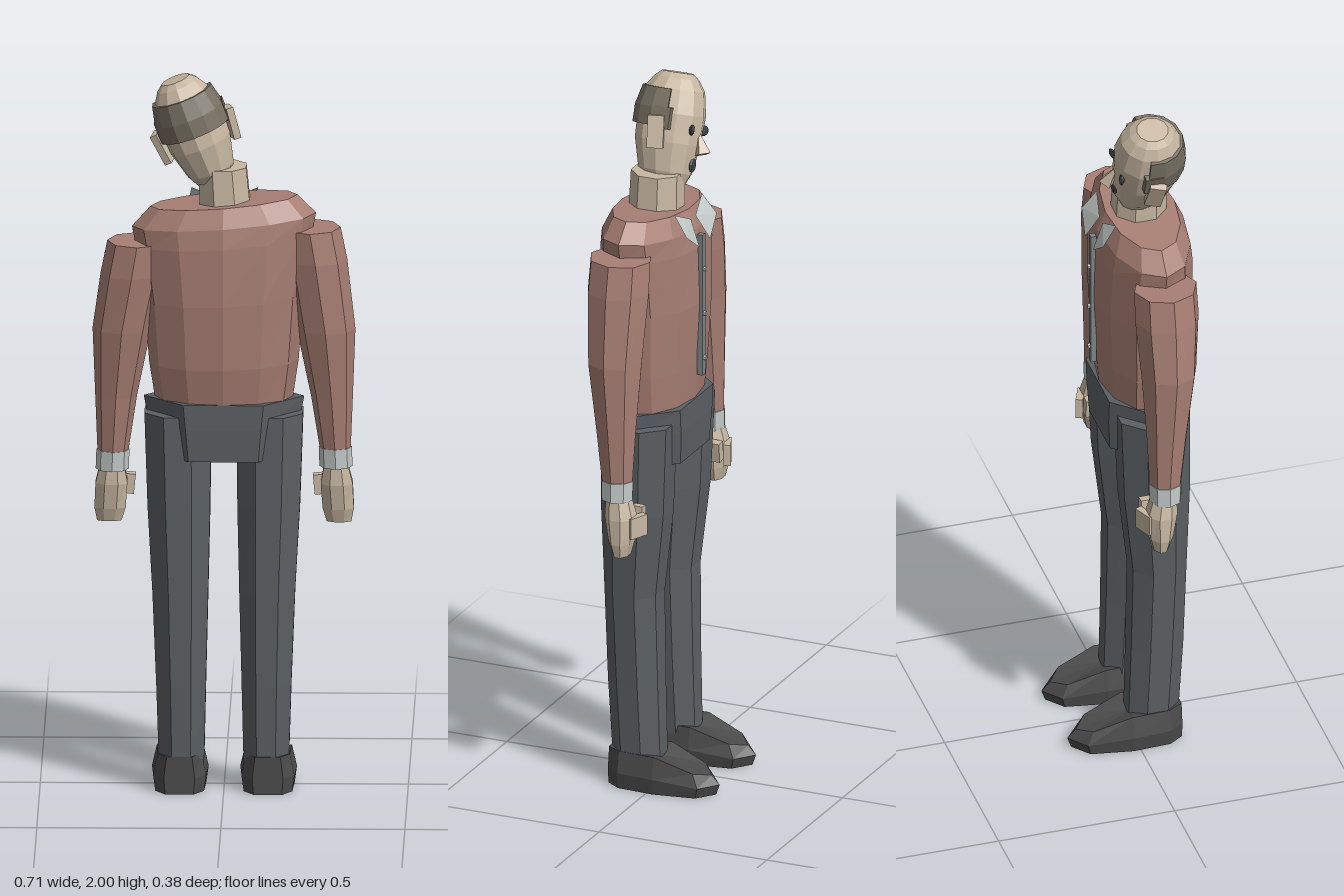
import * as THREE from 'three';

const mat = (color) => new THREE.MeshStandardMaterial({ color, flatShading: true, side: THREE.DoubleSide });
const SKIN = mat(0xc8b8a2), HAIR = mat(0x777063), SHIRT = mat(0xa87f74), TROUSER = mat(0x5b6064);
const SHOE = mat(0x4a4a4a), CLOTH = mat(0xc2cac8), DARK = mat(0x3f4344), PLACKET = mat(0x7c8486);

// Closed skin over rings of points; every ring is an array of [x, y, z] running from +x to +z
function skin(rings) {
  const n = rings[0].length, pos = rings.flat(2), idx = [];
  const mid = (r) => r.reduce((s, p) => s.map((v, i) => v + p[i] / n), [0, 0, 0]);
  const last = rings.length - 1, c0 = rings.length * n;
  pos.push(...mid(rings[0]), ...mid(rings[last]));
  for (let i = 0; i < n; i++) {
    const j = (i + 1) % n;
    for (let r = 0; r < last; r++) {
      const a = r * n + i, b = a + n, c = r * n + j, d = c + n;
      idx.push(a, b, c, c, b, d);
    }
    idx.push(c0, i, j, c0 + 1, last * n + j, last * n + i);
  }
  const g = new THREE.BufferGeometry();
  g.setAttribute('position', new THREE.Float32BufferAttribute(pos, 3));
  g.setIndex(idx);
  const flat = g.toNonIndexed();
  flat.computeVertexNormals();
  return flat;
}

// Elliptic rings given as [y, centreX, centreZ, radiusX, radiusZ]
const loft = (n, rows, turn = 0) => skin(rows.map(([y, cx, cz, rx, rz]) =>
  Array.from({ length: n }, (_, i) => {
    const a = ((i + turn) / n) * Math.PI * 2;
    return [cx + rx * Math.cos(a), y, cz + rz * Math.sin(a)];
  })));

function add(parent, name, geometry, material, x = 0, y = 0, z = 0) {
  const m = new THREE.Mesh(geometry, material);
  m.name = name;
  m.position.set(x, y, z);
  parent.add(m);
  return m;
}

function buildHead() {
  const head = new THREE.Group();
  head.name = 'head';
  add(head, 'skull', loft(12, [
    [-0.155, 0, -0.01, 0.042, 0.05], [-0.11, 0, -0.005, 0.066, 0.076], [-0.03, 0, 0, 0.086, 0.092],
    [0.05, 0, 0, 0.09, 0.095], [0.115, 0, 0, 0.077, 0.083], [0.145, 0, 0, 0.058, 0.062], [0.16, 0, 0, 0.04, 0.044],
  ]), SKIN);

  // Hair band wrapping the back of the head from ear to ear
  const slices = [];
  for (let i = 0; i <= 8; i++) {
    const a = -0.25 + (i / 8) * (Math.PI + 0.5);
    const at = (r, y) => [r * Math.cos(a), y, r * 1.05 * Math.sin(a)];
    slices.push([at(0.075, 0.01), at(0.099, 0.01), at(0.099, 0.06), at(0.086, 0.115), at(0.065, 0.115)]);
  }
  add(head, 'hairBand', skin(slices), HAIR);

  for (const s of [1, -1]) {
    const ear = add(head, 'ear', new THREE.BoxGeometry(0.02, 0.09, 0.045), SKIN, s * 0.1, -0.005, -0.002);
    ear.rotation.set(0.1, s * 0.3, -s * 0.12);
    add(head, 'sideburn', new THREE.BoxGeometry(0.02, 0.06, 0.05), HAIR, s * 0.088, 0.035, -0.01);
    const eye = add(head, 'eye', new THREE.SphereGeometry(1, 8, 6), DARK, s * 0.041, 0.012, -0.082);
    eye.scale.set(0.021, 0.015, 0.008);
    eye.rotation.y = s * 0.35;
  }
  const mouth = add(head, 'mouth', new THREE.SphereGeometry(1, 8, 6), DARK, 0, -0.083, -0.082);
  mouth.scale.set(0.019, 0.021, 0.008);
  const nose = add(head, 'nose', new THREE.ConeGeometry(0.024, 0.07, 4), SKIN, 0, -0.018, -0.095);
  nose.rotation.x = 0.35;
  head.position.set(-0.075, 1.835, 0.05);
  head.rotation.z = 0.367;
  return head;
}

function buildArm(s) {
  const arm = new THREE.Group();
  arm.name = s > 0 ? 'leftArm' : 'rightArm';
  const top = s > 0 ? 1.575 : 1.535, wrist = s > 0 ? 0.95 : 0.94;
  add(arm, 'sleeve', loft(8, [
    [wrist, s * 0.302, 0.035, 0.042, 0.045], [1.1, s * 0.293, 0.042, 0.057, 0.058],
    [1.29, s * 0.277, 0.052, 0.08, 0.078], [top - 0.09, s * 0.25, 0.055, 0.085, 0.09],
    [top, s * 0.235, 0.055, 0.082, 0.088],
  ]), SHIRT);
  add(arm, 'cuff', loft(8, [[wrist - 0.05, s * 0.304, 0.034, 0.045, 0.045], [wrist + 0.005, s * 0.302, 0.035, 0.045, 0.047]]), CLOTH);
  add(arm, 'hand', loft(8, [
    [0.742, s * 0.312, 0.016, 0.036, 0.022], [0.78, s * 0.31, 0.018, 0.046, 0.034],
    [0.85, s * 0.306, 0.022, 0.047, 0.044], [0.91, s * 0.304, 0.03, 0.034, 0.034],
  ], 0.5), SKIN);
  const thumb = add(arm, 'thumb', new THREE.BoxGeometry(0.026, 0.055, 0.03), SKIN, s * 0.256, 0.84, -0.008);
  thumb.rotation.z = s * 0.1;
  add(arm, 'knuckles', new THREE.BoxGeometry(0.06, 0.06, 0.02), SKIN, s * 0.3, 0.825, -0.022).rotation.y = -s * 0.4;
  return arm;
}

function buildLeg(s) {
  const leg = new THREE.Group();
  leg.name = s > 0 ? 'leftLeg' : 'rightLeg';
  add(leg, 'trouserLeg', loft(8, [
    [0.06, s * 0.115, 0.05, 0.066, 0.076], [0.3, s * 0.116, 0.06, 0.073, 0.08], [0.56, s * 0.118, 0.066, 0.082, 0.082],
    [0.8, s * 0.122, 0.056, 0.092, 0.1], [1.06, s * 0.125, 0.05, 0.098, 0.105],
  ], 0.5), TROUSER);

  // Shoe: a pointed sole outline stacked in rings, the top sloping down to the toe
  const half = [[0.077, -0.02], [0.072, 0.085], [0.042, 0.126]];
  const outline = [...half, ...half.map(([x, z]) => [-x, z]).reverse(), [-0.055, -0.145], [0, -0.188], [0.055, -0.145]];
  const ring = (k, height) => outline.map(([x, z]) => [s * 0.12 + x * k, height(z), z < -0.1 ? z * (0.3 + 0.7 * k) : z]);
  add(leg, 'shoe', skin([
    ring(0.92, () => 0), ring(1, (z) => (z < -0.1 ? 0.03 : 0.045)),
    ring(0.82, (z) => (z < -0.02 ? 0.105 + (z + 0.02) * 0.3 : 0.105)),
  ]), SHOE);
  return leg;
}

export function createModel() {
  const figure = new THREE.Group();
  figure.name = 'standingFigure';

  // Torso, one shoulder slightly raised
  const torso = loft(12, [
    [1.08, 0, 0.05, 0.185, 0.11], [1.2, 0, 0.055, 0.203, 0.125], [1.38, 0, 0.055, 0.217, 0.135],
    [1.54, 0, 0.055, 0.24, 0.13], [1.595, 0, 0.055, 0.25, 0.122], [1.648, 0, 0.055, 0.2, 0.098],
  ]);
  const p = torso.attributes.position;
  for (let i = 0; i < p.count; i++) p.setY(i, p.getY(i) + p.getX(i) * 0.08 * (p.getY(i) - 1) / 0.6);
  torso.computeVertexNormals();
  add(figure, 'torso', torso, SHIRT);

  // Button strip and collar flaps on the chest
  add(figure, 'buttonStrip', new THREE.BoxGeometry(0.018, 0.41, 0.016), PLACKET, 0, 1.375, -0.079);
  for (const y of [1.22, 1.35, 1.48]) {
    add(figure, 'button', new THREE.CylinderGeometry(0.007, 0.007, 0.01, 6), CLOTH, 0, y, -0.089).rotation.x = Math.PI / 2;
  }
  for (const s of [1, -1]) {
    const flap = new THREE.BufferGeometry();
    flap.setAttribute('position', new THREE.Float32BufferAttribute([
      s * 0.015, 1.625, -0.055, s * 0.09, 1.66, -0.04, s * 0.1, 1.605, -0.08,
      s * 0.015, 1.625, -0.055, s * 0.1, 1.605, -0.08, s * 0.035, 1.555, -0.09,
    ], 3));
    flap.computeVertexNormals();
    add(figure, 'collarFlap', flap, CLOTH);
  }

  // Hips
  add(figure, 'hips', loft(6, [[0.94, 0, 0.05, 0.19, 0.127], [1.03, 0, 0.05, 0.205, 0.133], [1.1, 0, 0.05, 0.218, 0.133]]), TROUSER);

  add(figure, 'neck', loft(8, [[1.61, 0.005, 0.052, 0.075, 0.078], [1.745, -0.004, 0.052, 0.07, 0.074]], 0.5), SKIN);
  figure.add(buildHead());
  for (const s of [1, -1]) figure.add(buildArm(s), buildLeg(s));
  return figure;
}
